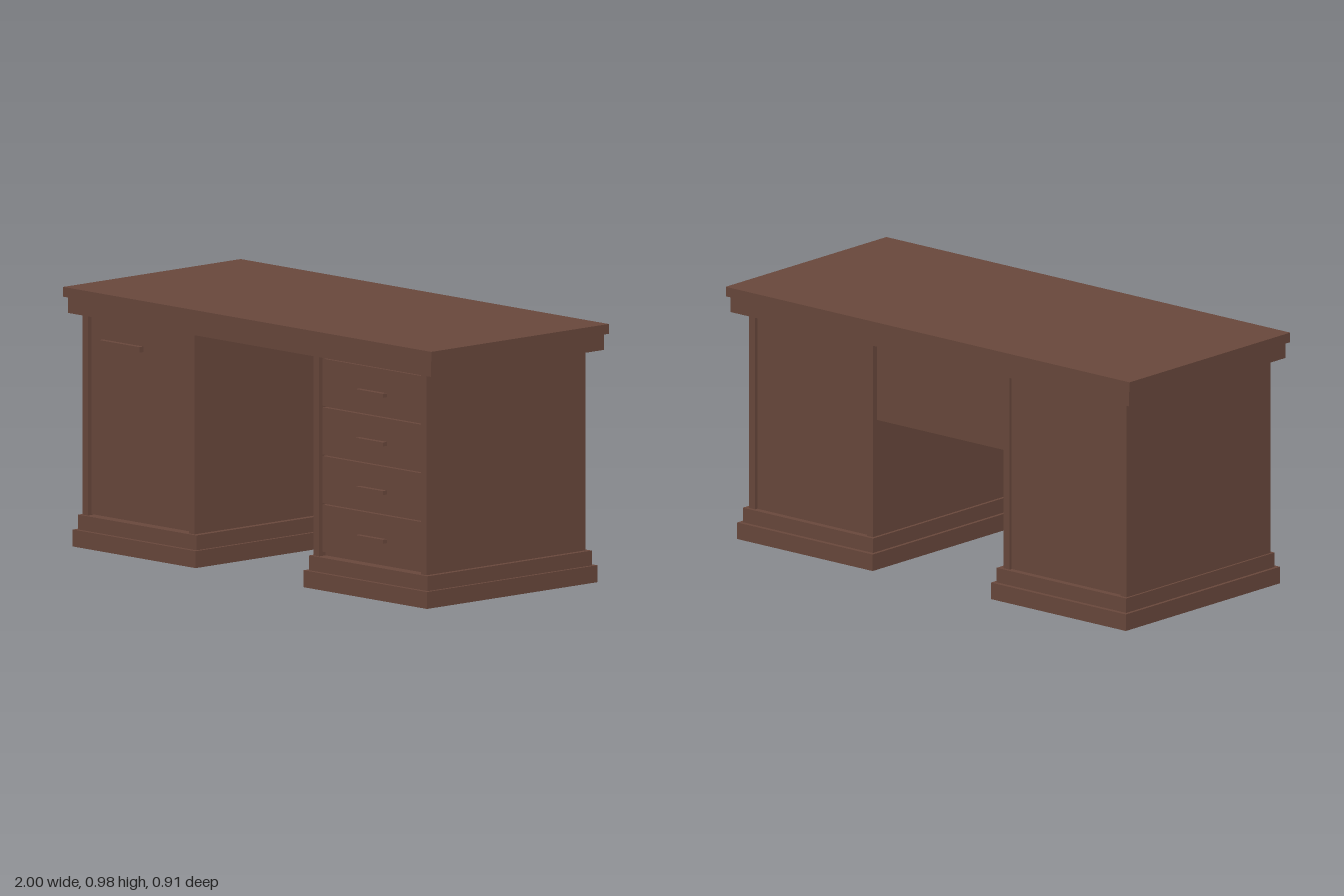
import * as THREE from 'three';

export function createModel() {
  const desk = new THREE.Group();
  desk.name = 'desk';
  const wood = new THREE.MeshStandardMaterial({ color: 0x69483c });
  wood.name = 'brown wood';

  // Box given by its limits on each axis
  function box(parent, name, [x0, x1], [y0, y1], [z0, z1]) {
    const mesh = new THREE.Mesh(new THREE.BoxGeometry(x1 - x0, y1 - y0, z1 - z0), wood);
    mesh.position.set((x0 + x1) / 2, (y0 + y1) / 2, (z0 + z1) / 2);
    mesh.name = name;
    parent.add(mesh);
  }

  // Stepped top
  box(desk, 'tabletop', [-1, 1], [0.94, 0.977], [-0.455, 0.455]);
  box(desk, 'topApron', [-0.987, 0.987], [0.879, 0.94], [-0.443, 0.443]);

  // Pedestal: stepped plinth, two side panels and a recessed core between them
  const sideZ = [-0.397, 0.418];
  const panel = 0.03;
  function pedestal(name, x0, x1, plinthShift) {
    const group = new THREE.Group();
    group.name = name;
    const p0 = x0 + plinthShift, p1 = x1 + plinthShift;
    box(group, 'plinthLower', [p0 - 0.029, p1 + 0.029], [0, 0.064], [-0.427, 0.447]);
    box(group, 'plinthUpper', [p0 - 0.016, p1 + 0.016], [0.064, 0.12], [-0.41, 0.431]);
    box(group, 'outerSide', [x0, x0 + panel], [0.12, 0.875], sideZ);
    box(group, 'innerSide', [x1 - panel, x1], [0.12, 0.875], sideZ);
    box(group, 'backPanel', [x0 + panel, x1 - panel], [0.12, 0.873], [-0.385, -0.365]);
    box(group, 'core', [x0 + panel, x1 - panel], [0.12, 0.87], [-0.365, 0.385]);
    desk.add(group);
    return group;
  }

  // Cupboard with one door
  const cupboard = pedestal('cupboardPedestal', -0.935, -0.325, 0.007);
  box(cupboard, 'door', [-0.903, -0.357], [0.124, 0.871], [0.385, 0.402]);
  box(cupboard, 'doorHandle', [-0.84, -0.62], [0.771, 0.792], [0.402, 0.422]);

  // Stack of four drawers
  const drawers = pedestal('drawerPedestal', 0.322, 0.935, 0.004);
  const pitch = 0.184;
  for (let i = 0; i < 4; i++) {
    const y0 = 0.136 + i * pitch;
    box(drawers, 'drawerFront', [0.354, 0.903], [y0, y0 + pitch - 0.006], [0.385, 0.402]);
    box(drawers, 'drawerHandle', [0.555, 0.703], [y0 + 0.075, y0 + 0.09], [0.402, 0.422]);
  }

  // Panel closing the back of the knee space
  box(desk, 'modestyPanel', [-0.325, 0.322], [0.57, 0.879], [-0.375, -0.355]);

  return desk;
}
